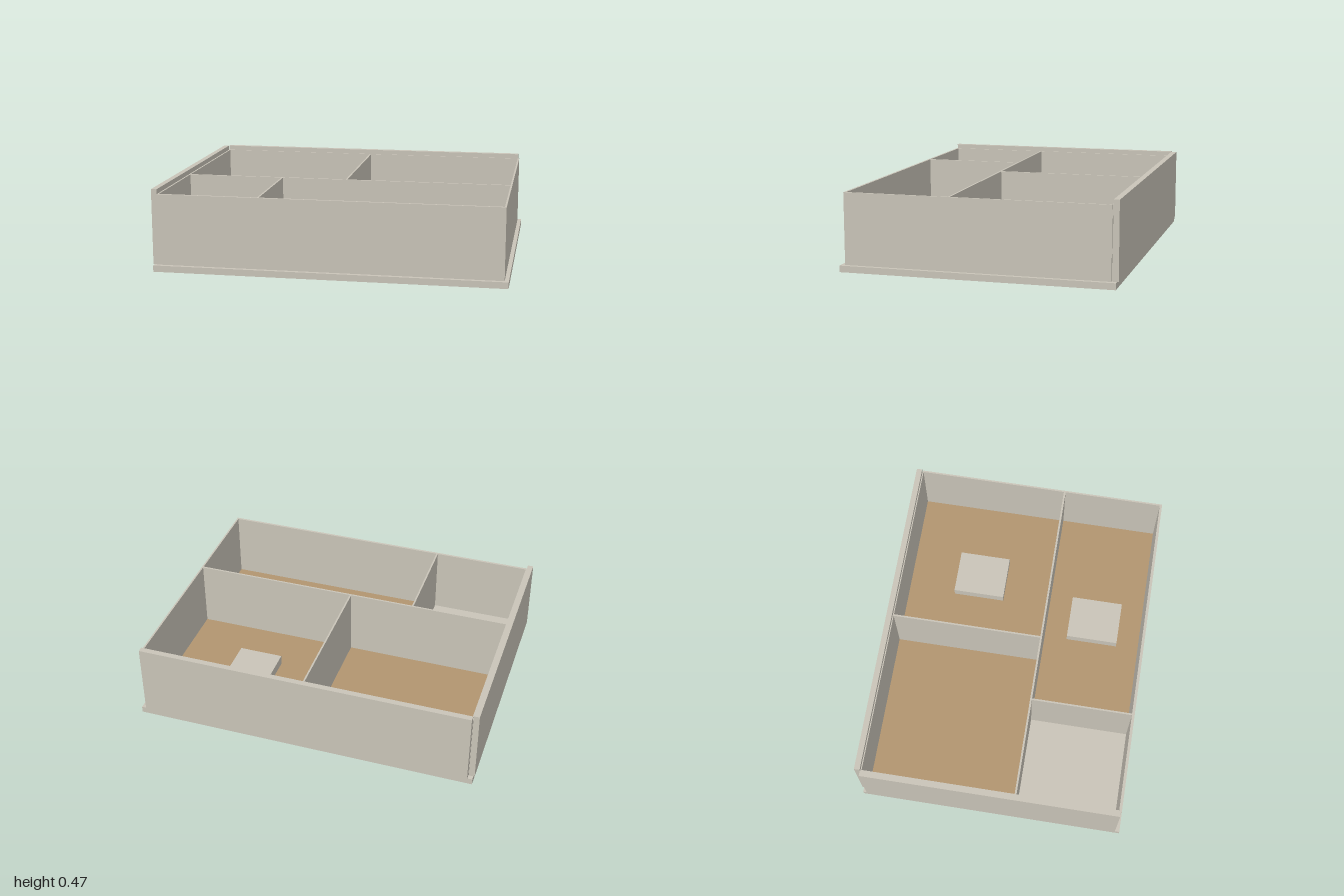
import * as THREE from 'three';

export function createModel() {
  const model = new THREE.Group();
  model.name = 'dividedTray';
  const card = new THREE.MeshStandardMaterial({ color: 0xc9c4b8 });
  card.name = 'warm grey card';
  const tan = new THREE.MeshStandardMaterial({ color: 0xb19570 });
  tan.name = 'tan lining';

  // Box given by its lower and upper limits on each axis
  function slab(name, [x0, x1], [y0, y1], [z0, z1], material = card) {
    const mesh = new THREE.Mesh(new THREE.BoxGeometry(x1 - x0, y1 - y0, z1 - z0), material);
    mesh.position.set((x0 + x1) / 2, (y0 + y1) / 2, (z0 + z1) / 2);
    mesh.name = name;
    model.add(mesh);
  }

  const base = 0.037, rim = 0.443, top = 0.47, floor = base + 0.005;

  // Base plate and the two thick outer walls
  slab('basePlate', [-0.993, 0.998], [0, base], [-0.768, 0.775]);
  slab('outerRightWall', [-1, -0.967], [base, top], [-0.742, 0.747]);
  slab('outerBackWall', [-0.965, 0.967], [base, top], [-0.777, -0.744]);

  // Thin inner box
  const wall = [base, rim];
  slab('innerRightWall', [-0.966, -0.957], wall, [-0.743, 0.747]);
  slab('innerLeftWall', [0.965, 0.975], wall, [-0.74, 0.747]);
  slab('innerBackWall', [-0.957, 0.965], wall, [-0.743, -0.737]);
  slab('innerFrontWall', [-0.966, 0.975], wall, [0.738, 0.752]);

  // Dividers
  slab('crossDivider', [-0.957, 0.965], wall, [0.143, 0.154]);
  slab('backDivider', [-0.005, 0.005], wall, [-0.737, 0.143]);
  slab('frontDivider', [-0.393, -0.383], wall, [0.154, 0.738]);

  // Compartment floors
  slab('backRightFloor', [-0.957, -0.005], [base, floor], [-0.737, 0.143], tan);
  slab('backLeftFloor', [0.005, 0.965], [base, floor], [-0.737, 0.143], tan);
  slab('frontLeftFloor', [-0.383, 0.965], [base, floor], [0.154, 0.738], tan);
  slab('frontRightFloor', [-0.957, -0.393], [base, floor], [0.154, 0.738]);

  // Low blocks resting on the tan floors
  slab('backBlock', [0.353, 0.615], [floor, 0.1], [-0.45, -0.14]);
  slab('frontBlock', [0.16, 0.422], [floor, 0.1], [0.292, 0.602]);

  return model;
}
